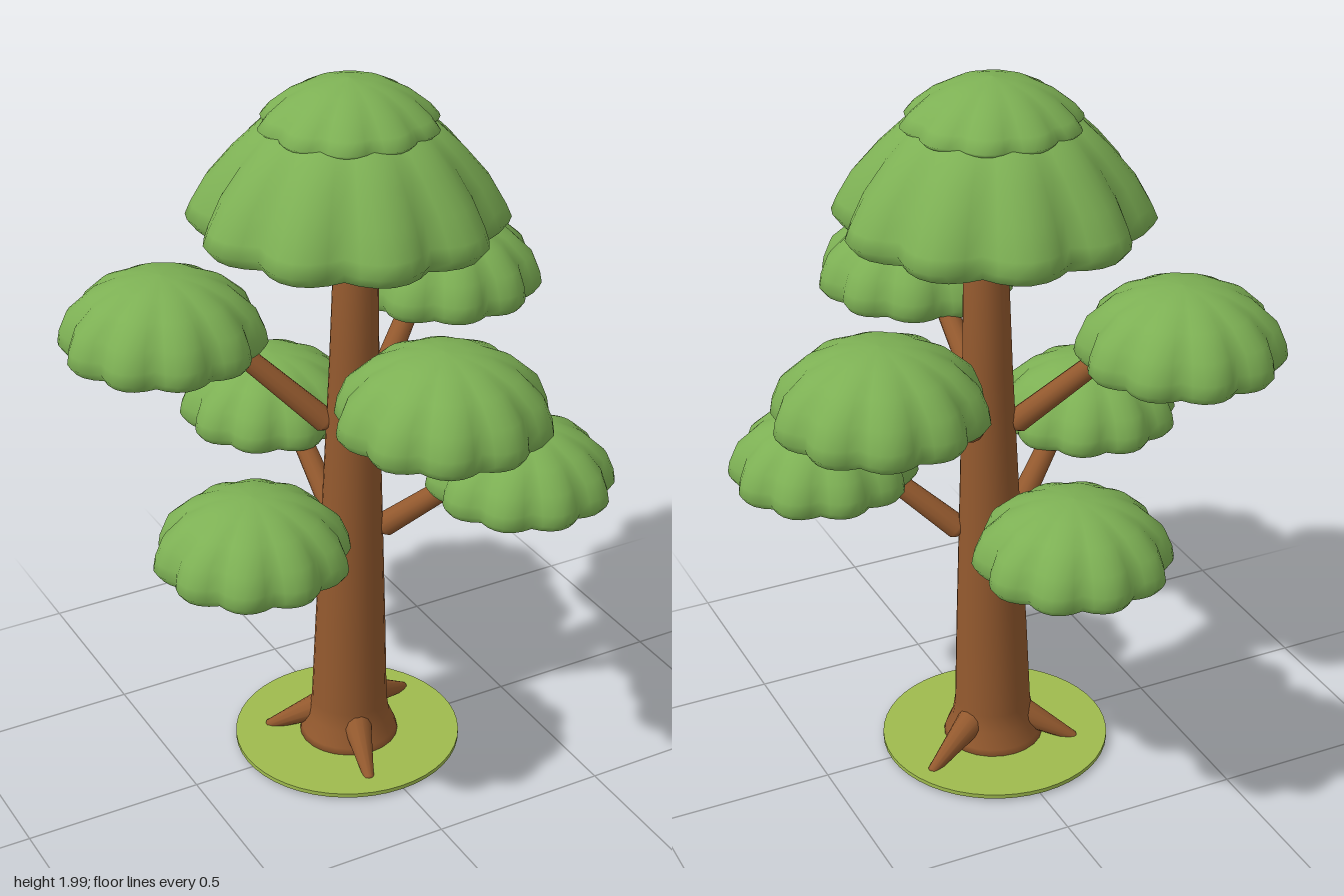
import * as THREE from 'three';

const bark = new THREE.MeshStandardMaterial({ color: 0x93592e });
const leaf = new THREE.MeshStandardMaterial({ color: 0x7db054, side: THREE.DoubleSide });
const leafShade = new THREE.MeshStandardMaterial({ color: 0x2c6433, side: THREE.DoubleSide });
const grass = new THREE.MeshStandardMaterial({ color: 0x9fbb4e });

const LOBES = 10, SEGMENTS = 60;

// Scalloped shell: profile points [radius, height] from top to bottom
function lobedGeometry(profile, depth, turn) {
  const pos = [], index = [];
  const maxR = Math.max(...profile.map(p => p[0]));
  profile.forEach(([r, y], i) => {
    for (let j = 0; j < SEGMENTS; j++) {
      const a = j / SEGMENTS * Math.PI * 2;
      const notch = 1 - Math.abs(Math.sin(a * LOBES / 2));
      const rr = r * (1 - depth * Math.pow(r / maxR, 1.5) * notch);
      pos.push(rr * Math.cos(a), y, -rr * Math.sin(a));
      if (i === profile.length - 1) continue;
      const k = (j + 1) % SEGMENTS;
      const p = i * SEGMENTS + j, q = i * SEGMENTS + k;
      index.push(p, p + SEGMENTS, q, p + SEGMENTS, q + SEGMENTS, q);
    }
  });
  const g = new THREE.BufferGeometry();
  g.setAttribute('position', new THREE.Float32BufferAttribute(pos, 3));
  g.setIndex(index);
  g.computeVertexNormals();
  return g.rotateY(turn * Math.PI / 180);
}

// Leaf clump: lit dome and darker underside
function clump(name, profile, depth, turn) {
  const group = new THREE.Group();
  group.name = name;
  const dome = new THREE.Mesh(lobedGeometry(profile, depth, turn), leaf);
  dome.name = name + 'Dome';
  const [r, y] = profile[profile.length - 1];
  // same scallop depth at the rim as the dome has there
  const maxR = Math.max(...profile.map(p => p[0]));
  const rimDepth = depth * Math.pow(r / maxR, 1.5);
  const under = lobedGeometry([[r, y], [r * 0.6, y + 0.012], [0, y + 0.02]], rimDepth, turn);
  const underside = new THREE.Mesh(under, leafShade);
  underside.name = name + 'Underside';
  group.add(dome, underside);
  return group;
}

// Tapered limb with rounded ends between two points
function limb(name, from, to, r0, r1) {
  const a = new THREE.Vector3(...from), b = new THREE.Vector3(...to);
  const len = a.distanceTo(b);
  const points = [[0, -r0 * 0.6], [r0 * 0.7, -r0 * 0.4], [r0, 0], [r1, len], [r1 * 0.6, len + r1 * 0.4], [0, len + r1 * 0.5]]
    .map(p => new THREE.Vector2(...p));
  const mesh = new THREE.Mesh(new THREE.LatheGeometry(points, 12), bark);
  mesh.name = name;
  mesh.position.copy(a);
  mesh.quaternion.setFromUnitVectors(new THREE.Vector3(0, 1, 0), b.sub(a).normalize());
  return mesh;
}

export function createModel() {
  const tree = new THREE.Group();
  tree.name = 'tree';

  // Ground disc
  const ground = new THREE.Mesh(new THREE.CylinderGeometry(0.32, 0.32, 0.012, 48), grass);
  ground.name = 'groundDisc';
  ground.position.set(-0.01, 0.022, -0.02);
  tree.add(ground);

  // Trunk, flared at the foot and leaning slightly
  const trunkProfile = [[0, 0.012], [0.145, 0.012], [0.135, 0.045], [0.115, 0.09], [0.107, 0.14],
    [0.098, 0.4], [0.08, 0.85], [0.067, 1.2], [0.055, 1.66], [0, 1.66]];
  const trunkGeo = new THREE.LatheGeometry(trunkProfile.map(p => new THREE.Vector2(...p)), 24);
  const tp = trunkGeo.attributes.position;
  for (let i = 0; i < tp.count; i++) tp.setX(i, tp.getX(i) - 0.006 + 0.015 * tp.getY(i));
  const trunk = new THREE.Mesh(trunkGeo, bark);
  trunk.name = 'trunk';
  trunk.position.z = -0.018;
  tree.add(trunk);

  // Roots
  [[0.235, -0.125], [-0.07, 0.22], [-0.2, -0.145]].forEach(([x, z], i) => {
    tree.add(limb('root' + (i + 1), [x * 0.34, 0.1, z * 0.34 - 0.012], [x, 0.022, z], 0.042, 0.014));
  });

  // Side clumps with their branches: centre x, z, base y, radius, height, turn, branch start
  const sides = [
    ['upperFront', 0, 0.465, 1.235, 0.28, 0.215, 10, [0.01, 1.09, 0.03]],
    ['upperLeft', 0.425, -0.265, 1.235, 0.28, 0.215, 19, [0.07, 1.03, -0.05]],
    ['upperRight', -0.425, -0.275, 1.235, 0.28, 0.215, 25, [-0.06, 1.03, -0.05]],
    ['lowerLeft', 0.395, 0.22, 0.832, 0.26, 0.198, 30, [0.085, 0.7, 0.02]],
    ['lowerRight', -0.415, 0.22, 0.832, 0.26, 0.198, 5, [-0.08, 0.68, 0.02]],
    ['lowerBack', -0.005, -0.49, 0.832, 0.26, 0.198, 33, [0.005, 0.66, -0.09]],
  ];
  const dome = [[0, 1], [0.2, 0.985], [0.42, 0.92], [0.68, 0.76], [0.9, 0.5], [0.98, 0.25], [1, 0.1], [0.94, 0]];
  for (const [name, x, z, y, r, h, turn, start] of sides) {
    const c = clump(name + 'Clump', dome.map(([a, b]) => [a * r, b * h]), 0.12, turn);
    c.position.set(x, y, z);
    tree.add(c);
    const end = [x * 0.72, y + 0.05, z * 0.72];
    tree.add(limb(name + 'Branch', start, end, 0.034, 0.027));
  }

  // Crown: wide skirt below a small cap
  const skirt = clump('crownSkirt', [[0, 1.92], [0.14, 1.91], [0.235, 1.872], [0.3, 1.81], [0.365, 1.735],
    [0.405, 1.665], [0.42, 1.63], [0.395, 1.6]], 0.13, -12);
  const cap = clump('crownCap', [[0, 2], [0.06, 1.992], [0.11, 1.978], [0.165, 1.95], [0.215, 1.91],
    [0.238, 1.882], [0.225, 1.87]], 0.1, 6);
  skirt.position.set(-0.005, 0, -0.02);
  cap.position.set(0, 0, -0.022);
  tree.add(skirt, cap);

  return tree;
}
